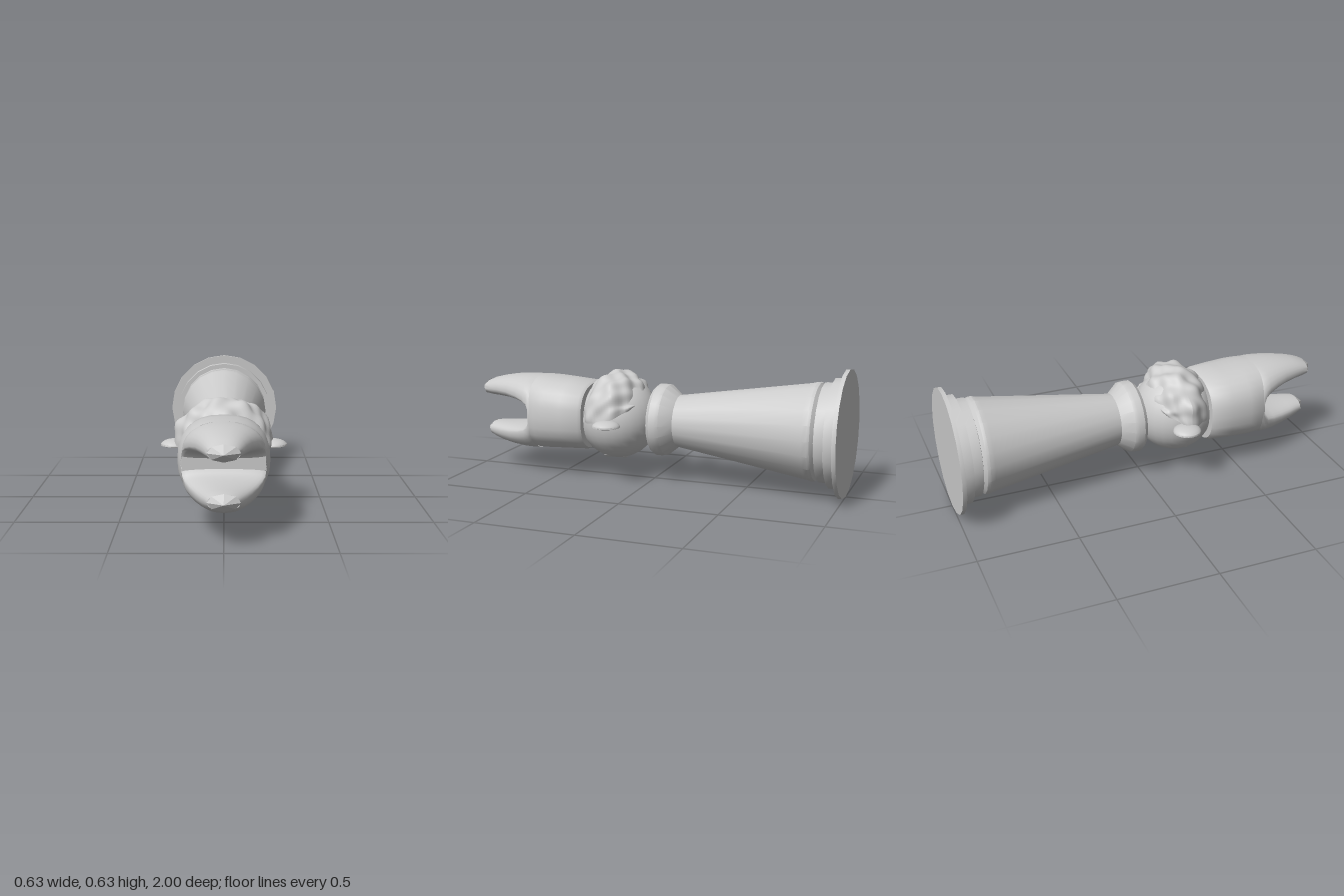
import * as THREE from 'three';
import { toCreasedNormals } from 'three/addons/utils/BufferGeometryUtils.js';

const AXIS = 0.318; // height of the piece's long axis
const material = new THREE.MeshStandardMaterial({ color: 0xcccccc, side: THREE.DoubleSide });
const facetMaterial = new THREE.MeshStandardMaterial({ color: 0xcccccc, flatShading: true });

// Skin cross-sections [z, centre y, half width, rise above centre, drop below centre]
function loft(sections, n = 28, power = 2.5) {
  const round = (v) => Math.sign(v) * Math.abs(v) ** (2 / power);
  const pos = [], index = [];
  sections.forEach(([z, cy, rx, up, down], s) => {
    for (let i = 0; i < n; i++) {
      const a = (i / n) * Math.PI * 2;
      const v = round(Math.sin(a));
      pos.push(rx * round(Math.cos(a)), cy + v * (v > 0 ? up : down), z);
      if (s === 0) continue;
      const a0 = (s - 1) * n + i, b0 = (s - 1) * n + (i + 1) % n;
      index.push(a0, b0, b0 + n, a0, b0 + n, a0 + n);
    }
  });
  const g = new THREE.BufferGeometry();
  g.setAttribute('position', new THREE.Float32BufferAttribute(pos, 3));
  g.setIndex(index);
  return toCreasedNormals(g, 0.75);
}

export function createModel() {
  const model = new THREE.Group();
  const add = (name, geometry, mat = material) => {
    const mesh = new THREE.Mesh(geometry, mat);
    mesh.name = name;
    model.add(mesh);
    return mesh;
  };
  // Turned parts: [radius, z] profiles around the long axis
  const turned = (name, profile) => {
    const g = new THREE.LatheGeometry(profile.map(([r, z]) => new THREE.Vector2(r, z)), 20);
    g.rotateX(Math.PI / 2).translate(0, AXIS, 0);
    return add(name, toCreasedNormals(g, 0.6));
  };
  const ellipsoid = (name, [x, y, z], [rx, ry, rz]) => {
    const mesh = add(name, new THREE.SphereGeometry(1, 28, 20));
    mesh.position.set(x, y, z);
    mesh.scale.set(rx, ry, rz);
    return mesh;
  };

  // Stepped foot, tapered body and collar
  turned('base', [[0, -1], [0.317, -1], [0.317, -0.98], [0.272, -0.98], [0.272, -0.93],
    [0.247, -0.93], [0.247, -0.88], [0.225, -0.875], [0.225, -0.86], [0, -0.86]]);
  turned('body', [[0, -0.875], [0.225, -0.875], [0.243, -0.86], [0.247, -0.845], [0.24, -0.82], [0.133, -0.13]]);
  turned('collar', [[0.133, -0.14], [0.183, -0.08], [0.186, -0.06], [0.186, -0.03], [0.172, -0.012], [0, -0.012]]);

  // Head facing down, with eyes and nose
  ellipsoid('head', [0, 0.314, 0.2], [0.212, 0.212, 0.208]);
  for (const side of [-1, 1]) {
    const eye = ellipsoid(side > 0 ? 'leftEye' : 'rightEye', [side * 0.075, 0.123, 0.235], [0.028, 0.01, 0.018]);
    eye.rotation.z = side * 0.38;
    // Ear: a shallow shell, open towards the face
    const shell = new THREE.SphereGeometry(1, 20, 10, 0, Math.PI * 2, 0, Math.PI / 2);
    const ear = add(side > 0 ? 'leftEar' : 'rightEar', shell);
    ear.position.set(side * 0.247, 0.312, 0.17);
    ear.scale.set(0.07, 0.032, 0.072);
    const rim = add(side > 0 ? 'leftEarRim' : 'rightEarRim', new THREE.TorusGeometry(0.062, 0.008, 8, 24));
    rim.rotation.x = Math.PI / 2;
    rim.position.set(side * 0.247, 0.317, 0.17);
  }
  ellipsoid('nose', [0, 0.112, 0.17], [0.022, 0.016, 0.022]);

  // Curly hair: a dome with rolling lumps
  const hair = new THREE.SphereGeometry(1, 72, 36, 0, Math.PI * 2, 0, Math.PI * 0.53);
  const p = hair.attributes.position, v = new THREE.Vector3();
  for (let i = 0; i < p.count; i++) {
    v.fromBufferAttribute(p, i);
    const lump = Math.sin(9 * v.x + 2 * v.y) * Math.sin(8 * v.z + 3 * v.x + 1) + 0.7 * Math.sin(11 * v.y + 4 * v.z) * Math.cos(10 * v.x - 5 * v.z);
    const low = Math.max(0, 0.35 - v.y) * Math.max(0, -v.z); // raised nape line
    v.multiplyScalar(1 + 0.05 * lump);
    p.setXYZ(i, v.x * 0.243, 0.34 + v.y * 0.215 + low * 0.2, 0.2 + v.z * 0.167);
  }
  hair.computeVertexNormals();
  add('hair', hair);

  // Cleft hat: a rounded lower part splitting into two horns
  add('hatBase', loft([
    [0.335, AXIS, 0, 0, 0], [0.335, AXIS, 0.195, 0.17, 0.17], [0.35, AXIS, 0.207, 0.179, 0.178],
    [0.45, AXIS, 0.215, 0.187, 0.182], [0.55, AXIS, 0.217, 0.194, 0.187],
    [0.6, AXIS, 0.208, 0.196, 0.189], [0.64, AXIS, 0.194, 0.196, 0.189], [0.64, AXIS, 0, 0, 0],
  ]));
  const hornProfile = [
    [0.63, 0.012, 0.198, 0.184, 0.006], [0.65, 0.062, 0.19, 0.134, 0.02], [0.68, 0.082, 0.178, 0.114, 0.028],
    [0.73, 0.098, 0.157, 0.097, 0.036], [0.8, 0.11, 0.128, 0.079, 0.042], [0.87, 0.113, 0.103, 0.064, 0.042],
    [0.92, 0.112, 0.085, 0.052, 0.04], [0.955, 0.112, 0.072, 0.036, 0.036],
  ];
  for (const side of [-1, 1]) {
    const stretch = side > 0 ? 1 : 0.92; // the lower horn is a little shorter
    const sections = hornProfile.map(([z, y, rx, outer, inner]) => [
      0.63 + (z - 0.63) * stretch, AXIS + side * y, rx,
      side > 0 ? outer : inner, side > 0 ? inner : outer]);
    add(side > 0 ? 'upperHorn' : 'lowerHorn', loft(sections, 28, 2.2));
    // Faceted point
    const tip = add(side > 0 ? 'upperTip' : 'lowerTip', new THREE.ConeGeometry(1, 1, 8).rotateX(Math.PI / 2), facetMaterial);
    const end = 0.63 + 0.325 * stretch;
    tip.position.set(0, AXIS + side * 0.112, end + 0.0225);
    tip.scale.set(0.075, 0.04, 0.045);
  }
  return model;
}
